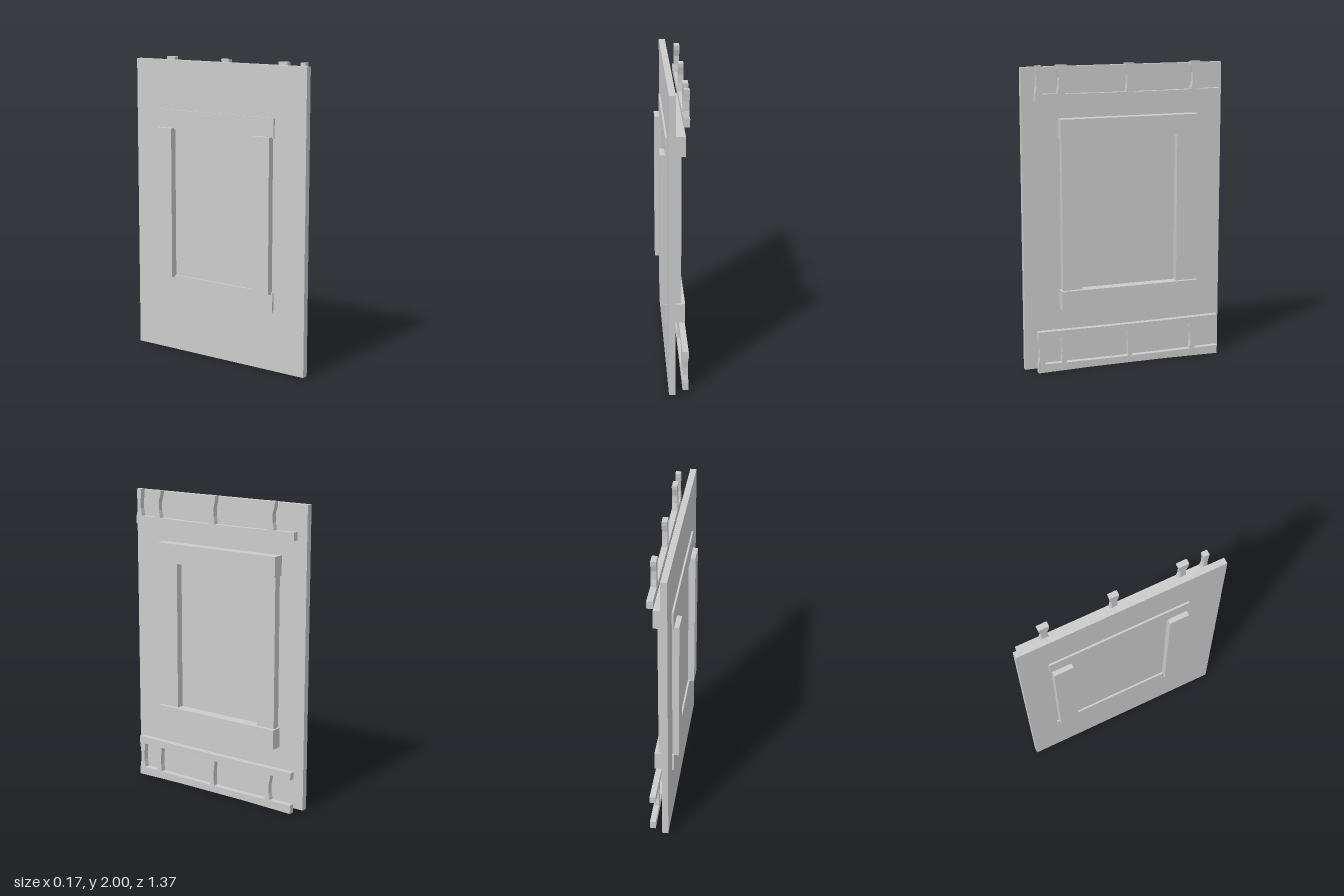
import * as THREE from 'three';

const material = new THREE.MeshStandardMaterial({ color: 0xcccccc, flatShading: true });

export function createModel() {
  const model = new THREE.Group();

  // Square-cut timber given by its limits on each axis
  function timber(name, x0, x1, y0, y1, z0, z1) {
    const mesh = new THREE.Mesh(new THREE.BoxGeometry(x1 - x0, y1 - y0, z1 - z0), material);
    mesh.position.set((x0 + x1) / 2, (y0 + y1) / 2, (z0 + z1) / 2);
    mesh.name = name;
    model.add(mesh);
  }

  // Hand-cut timber: a [z, y] outline given thickness from x0 to x1
  function carved(name, x0, x1, outline) {
    const shape = new THREE.Shape(outline.map(([z, y]) => new THREE.Vector2(z, y)));
    const geometry = new THREE.ExtrudeGeometry(shape, { depth: x1 - x0, bevelEnabled: false });
    geometry.rotateY(-Math.PI / 2);
    geometry.translate(x1, 0, 0);
    const mesh = new THREE.Mesh(geometry, material);
    mesh.name = name;
    model.add(mesh);
  }

  // Wall slab
  timber('wallPanel', -0.046, -0.005, 0.005, 1.985, -0.687, 0.687);

  // Window frame: lintel and sill pass over the two jambs
  timber('lintel', -0.058, 0.07, 1.526, 1.655, -0.5, 0.45);
  timber('sill', -0.058, 0.07, 0.4, 0.53, -0.5, 0.45);
  timber('leftJamb', -0.09, 0.044, 0.52, 1.535, 0.306, 0.438);
  timber('rightJamb', -0.09, 0.044, 0.52, 1.535, -0.487, -0.357);

  // Long rails, very slightly worn thinner along the middle
  const rails = [
    ['upperRail', 1.77, 1.822, 0.005, 0.005],
    ['middleRail', 0.228, 0.276, 0, 0.003],
    ['bottomRail', 0, 0.057, 0.006, 0.005],
  ];
  for (const [name, y0, y1, rise, dip] of rails) {
    carved(name, 0.044, 0.083, [
      [-0.647, y0], [-0.28, y0 + rise], [0.25, y0 + rise], [0.62, y0],
      [0.62, y1], [0.2, y1 - dip], [-0.25, y1 - dip], [-0.647, y1],
    ]);
  }

  // Stakes with flared ends: centre z, then half widths at foot, waist and head
  function stake(name, y0, y1, z, foot, waist, head) {
    const h = y1 - y0;
    const edge = [[foot, 0], [foot * 0.9, 0.12], [waist, 0.3], [waist, 0.6], [head * 0.94, 0.85], [head, 1]];
    const right = edge.map(([w, t]) => [z + w, y0 + t * h]);
    const left = edge.map(([w, t]) => [z - w, y0 + t * h]).reverse();
    carved(name, 0.045, 0.08, [...right, ...left]);
  }
  const upperStakes = [
    [0.596, 0.023, 0.013, 0.019], [0.445, 0.029, 0.019, 0.035],
    [-0.011, 0.025, 0.018, 0.031], [-0.467, 0.029, 0.019, 0.035],
  ];
  const lowerStakes = [
    [0.597, 0.023, 0.014, 0.022], [0.445, 0.019, 0.014, 0.02],
    [-0.014, 0.016, 0.014, 0.021], [-0.465, 0.02, 0.012, 0.022],
  ];
  upperStakes.forEach((s) => stake('upperStake', 1.812, 2, ...s));
  lowerStakes.forEach((s) => stake('lowerStake', 0.05, 0.23, ...s));

  return model;
}
